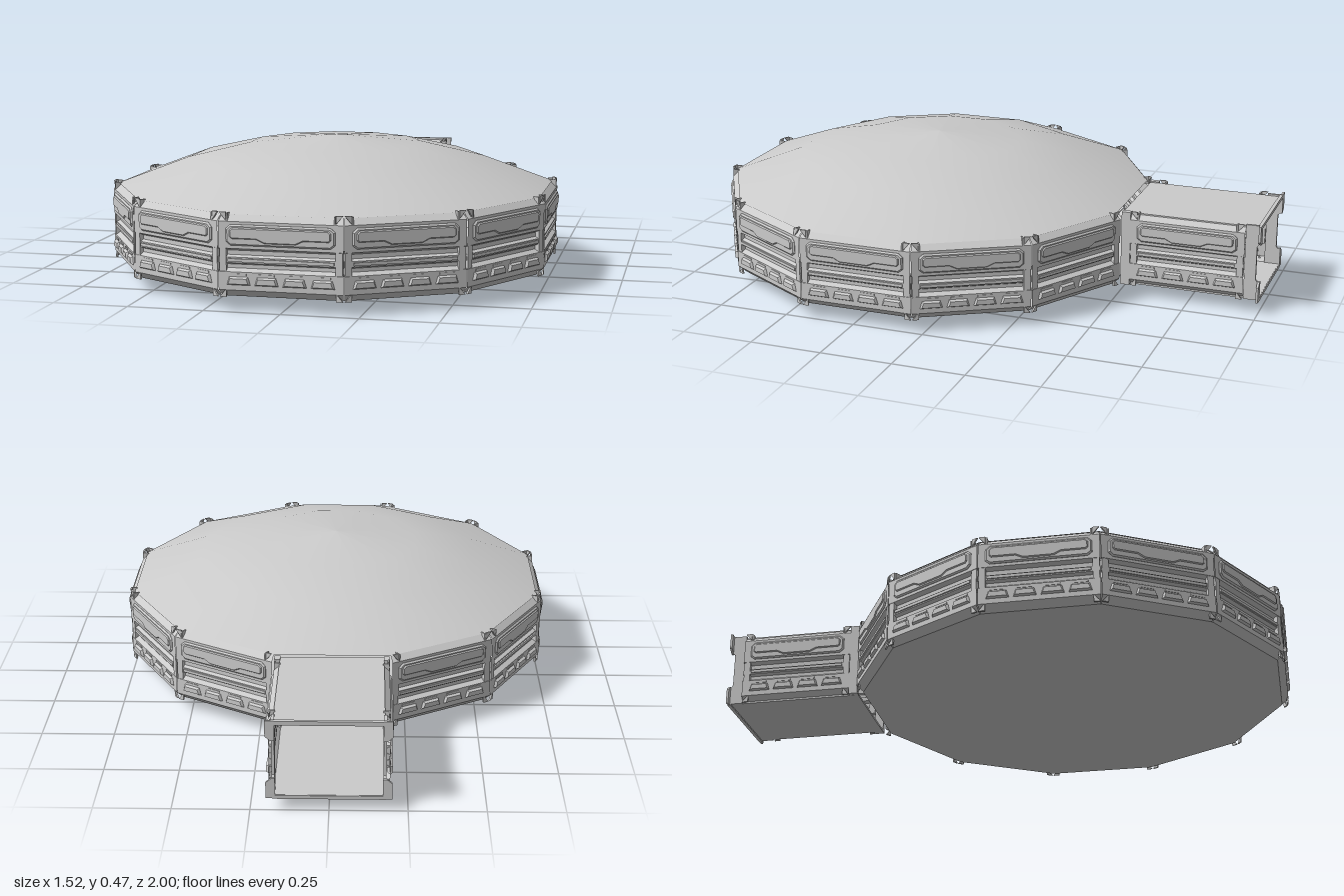
import * as THREE from 'three';

const SIDES = 12, APOTHEM = 0.752, CENTRE_Z = 0.238, HALF = 0.2;
const TAN = Math.tan(Math.PI / SIDES);
const flat = new THREE.MeshStandardMaterial({ color: 0xcccccc, flatShading: true, side: THREE.DoubleSide });
const smooth = new THREE.MeshStandardMaterial({ color: 0xcccccc, side: THREE.DoubleSide });

function add(parent, name, geometry, x = 0, y = 0, z = 0, material = flat) {
  const mesh = new THREE.Mesh(geometry, material);
  mesh.name = name;
  mesh.position.set(x, y, z);
  parent.add(mesh);
  return mesh;
}

const box = (w, h, d) => new THREE.BoxGeometry(w, h, d);

function slab(points, depth) {
  const shape = new THREE.Shape(points.map(([x, y]) => new THREE.Vector2(x, y)));
  return new THREE.ExtrudeGeometry(shape, { depth, bevelEnabled: false });
}

// Raised plate with sloping edges
function plate(points, depth, bevel) {
  const shape = new THREE.Shape(points.map(([x, y]) => new THREE.Vector2(x, y)));
  return new THREE.ExtrudeGeometry(shape, {
    depth: 0.001, bevelEnabled: true, bevelThickness: depth, bevelSize: bevel, bevelOffset: -bevel, bevelSegments: 1,
  });
}

// Wall section as [outward offset, height], top to bottom
const section = [
  [-0.022, 0.305], [0, 0.285], [0, 0.2], [-0.016, 0.192], [-0.016, 0.178], [-0.004, 0.172],
  [-0.004, 0.154], [-0.016, 0.148], [-0.016, 0.136], [0, 0.126], [0, 0.068], [-0.025, 0.045],
];

// Wall skin; mitre narrows it where it steps inwards
function wallSkin(mitre) {
  const pos = [];
  for (let i = 0; i < section.length - 1; i++) {
    const [d0, y0] = section[i], [d1, y1] = section[i + 1];
    const w0 = HALF + d0 * mitre, w1 = HALF + d1 * mitre;
    pos.push(-w0, y0, d0, -w1, y1, d1, w0, y0, d0);
    pos.push(w0, y0, d0, -w1, y1, d1, w1, y1, d1);
  }
  const g = new THREE.BufferGeometry();
  g.setAttribute('position', new THREE.Float32BufferAttribute(pos, 3));
  g.computeVertexNormals();
  return g;
}

const panelOutline = [
  [-0.16, 0.21], [0.16, 0.21], [0.175, 0.222], [0.175, 0.263], [0.16, 0.276],
  [-0.16, 0.276], [-0.175, 0.263], [-0.175, 0.222],
];
const panelInset = [
  [-0.155, 0.231], [-0.075, 0.231], [-0.05, 0.219], [0.05, 0.219], [0.075, 0.231], [0.155, 0.231],
  [0.163, 0.238], [0.163, 0.259], [0.153, 0.268], [-0.153, 0.268], [-0.163, 0.259], [-0.163, 0.238],
];
const ventOutline = [[-0.038, -0.013], [0.038, -0.013], [0.03, 0.013], [-0.03, 0.013]];
const finOutline = [[0, 0], [0.022, 0.026], [0, 0.026]];

// One wall module facing +z
function makeWall(name, mitre) {
  const wall = new THREE.Group();
  wall.name = name;
  add(wall, 'wallSkin', wallSkin(mitre));
  add(wall, 'upperPanel', plate(panelOutline, 0.005, 0.005));
  add(wall, 'upperPanelInset', plate(panelInset, 0.005, 0.004), 0, 0, 0.004);
  add(wall, 'middleRail', box(0.34, 0.01, 0.008), 0, 0.163, -0.003);
  for (let i = 0; i < 4; i++) {
    const x = (i - 1.5) * 0.09;
    add(wall, 'vent', plate(ventOutline, 0.008, 0.005), x, 0.098, 0);
    add(wall, 'ventSlot', box(0.05, 0.006, 0.004), x, 0.118, 0);
  }
  for (const s of [-1, 1]) {
    add(wall, 'cornerPost', box(0.022, 0.08, 0.018), s * 0.186, 0.163, -0.01);
    // Small brackets at the top and bottom corners
    const top = add(wall, 'topBracket', slab(finOutline, 0.006), s * 0.176, 0.288, -0.007);
    top.scale.x = s;
    const base = add(wall, 'bottomBracket', slab(finOutline, 0.006), s * 0.176, 0.071, -0.007);
    base.scale.set(s, -1, 1);
    add(wall, 'bracketRib', box(0.005, 0.026, 0.022), s * 0.172, 0.298, -0.012);
  }
  return wall;
}

// Twelve-sided surface from [flat-to-centre distance, height] points
function ringSurface(points) {
  const k = 1 / Math.cos(Math.PI / SIDES);
  return new THREE.LatheGeometry(
    points.map(([r, y]) => new THREE.Vector2(r * k, y)), SIDES, Math.PI / SIDES);
}

function makeRoom() {
  const room = new THREE.Group();
  room.name = 'room';
  room.position.z = CENTRE_Z;
  add(room, 'domeRoof', ringSurface([[0.735, 0.305], [0.5, 0.395], [0.29, 0.446], [0, 0.473]]), 0, 0, 0, smooth);
  add(room, 'underside', ringSurface([[0, 0], [0.728, 0.045]]), 0, 0, 0, smooth);
  // Walls on every side except the rear doorway
  for (let i = 0; i < SIDES; i++) {
    if (i === SIDES / 2) continue;
    const a = (i / SIDES) * Math.PI * 2;
    const wall = makeWall('roomWall', TAN);
    wall.position.set(Math.sin(a) * APOTHEM, 0, Math.cos(a) * APOTHEM);
    wall.rotation.y = a;
    room.add(wall);
  }
  return room;
}

function makeCorridor() {
  const corridor = new THREE.Group();
  corridor.name = 'corridor';
  add(corridor, 'corridorRoof', box(0.35, 0.008, 0.482), 0, 0.302, -0.756);
  add(corridor, 'corridorFloor', box(0.35, 0.008, 0.482), 0, 0.049, -0.756);
  // Notched end plate in (z, y), used on both sides of the opening
  const endPlate = [
    [0.945, 0.045], [1, 0.045], [1, 0.1], [0.985, 0.118], [0.985, 0.237], [1, 0.255], [1, 0.312], [0.945, 0.312],
  ];
  const gusset = [[0, 0], [0.03, 0], [0.03, -0.055], [0.012, -0.07], [0, -0.07]];
  for (const s of [-1, 1]) {
    const wall = makeWall('corridorWall', 0);
    wall.position.set(s * 0.193, 0, -0.745);
    wall.rotation.y = s * Math.PI / 2;
    corridor.add(wall);
    add(corridor, 'doorPost', box(0.02, 0.265, 0.032), s * 0.183, 0.178, -0.53);
    const end = add(corridor, 'endPlate', slab(endPlate, 0.01), s * 0.176 - 0.005, 0, 0);
    end.rotation.y = Math.PI / 2;
    end.position.x = s * 0.176 - 0.005;
    // Flared corner brackets on the open end
    for (const [y, v] of [[0.315, 1], [0.042, -1]]) {
      const g = add(corridor, 'endBracket', slab(gusset, 0.008), s * 0.17, y, -1);
      g.scale.set(s, v, 1);
    }
  }
  for (const y of [0.308, 0.046]) add(corridor, 'endLip', box(0.36, 0.012, 0.012), 0, y, -0.994);
  return corridor;
}

export function createModel() {
  const model = new THREE.Group();
  model.name = 'roundModule';
  model.add(makeRoom(), makeCorridor());
  return model;
}
